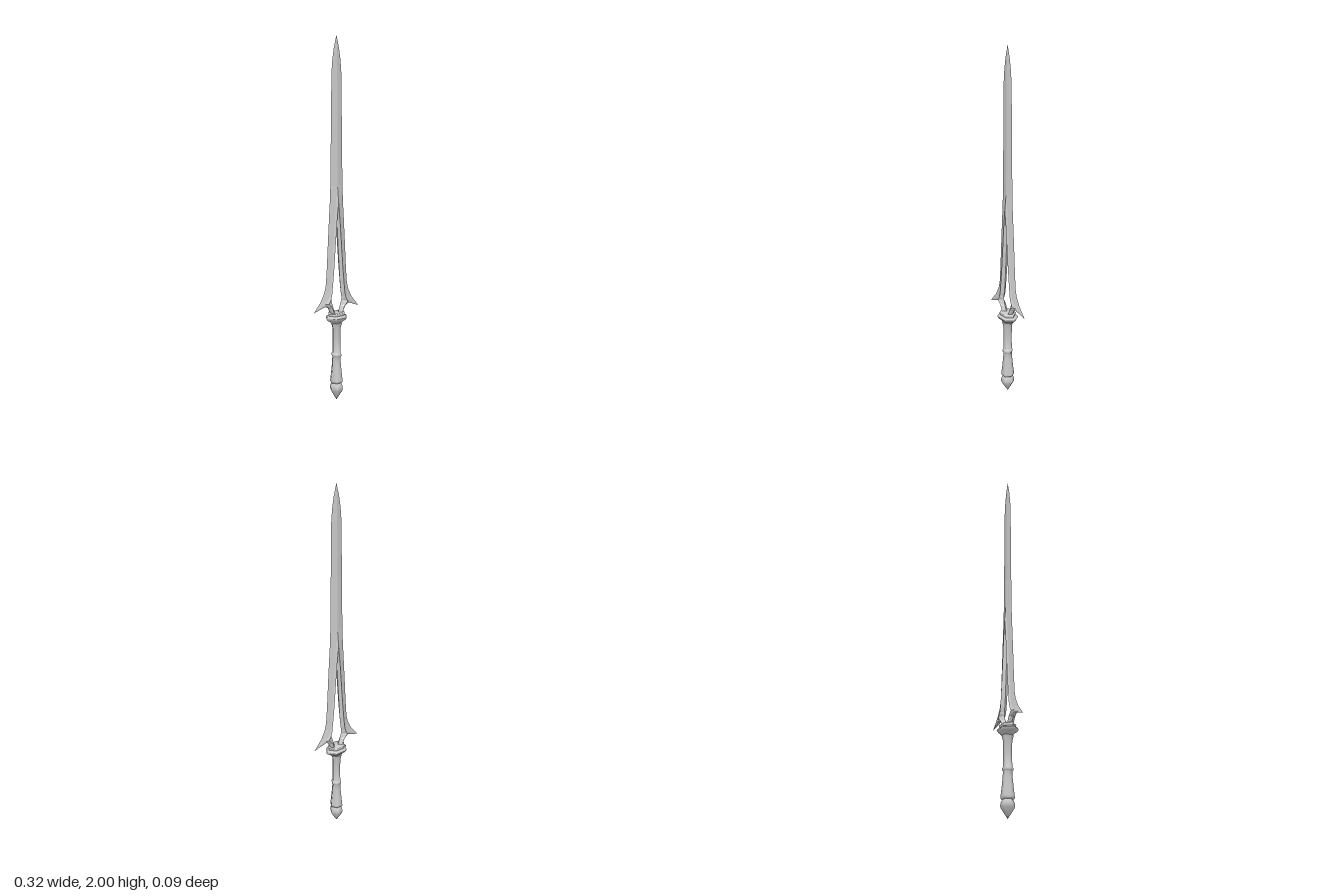
import * as THREE from 'three';
import { toCreasedNormals } from 'three/addons/utils/BufferGeometryUtils.js';

const steel = new THREE.MeshStandardMaterial({ color: 0xcccccc, flatShading: true });
const smooth = new THREE.MeshStandardMaterial({ color: 0xcccccc });

// Each row runs from the cutting edge to the centre; a point is [x, y, z].
const row = (...p) => p;
const solid = (y, x, z) => row([x, y, 0], [0, y, z], [0, y, z], [0, y, z]);
const split = (y, edge, foot, rim, inner) =>
  row([edge, y, 0], [foot, y, 0.011], [rim, y, 0.019], [inner, y, 0]);

const bladeRows = [
  solid(2, 0, 0),
  solid(1.93, 0.018, 0.004),
  solid(1.87, 0.028, 0.006),
  solid(1.8, 0.034, 0.007),
  solid(1.5, 0.038, 0.008),
  solid(1.2, 0.042, 0.01),
  split(1.11, 0.046, 0.012, 0, 0),
  split(1.0, 0.053, 0.02, 0.011, 0.004),
  split(0.88, 0.06, 0.029, 0.02, 0.011),
  split(0.75, 0.067, 0.039, 0.03, 0.019),
  split(0.66, 0.074, 0.047, 0.039, 0.025),
  // barb, then the prong curling in to the guard
  row([0.084, 0.62, 0], [0.053, 0.61, 0.011], [0.045, 0.605, 0.019], [0.03, 0.61, 0]),
  row([0.108, 0.573, 0], [0.064, 0.58, 0.011], [0.052, 0.58, 0.019], [0.035, 0.585, 0]),
  row([0.158, 0.515, 0], [0.086, 0.555, 0.01], [0.066, 0.555, 0.019], [0.036, 0.565, 0]),
  row([0.088, 0.543, 0], [0.076, 0.545, 0.01], [0.058, 0.547, 0.019], [0.031, 0.553, 0]),
  row([0.06, 0.53, 0], [0.053, 0.53, 0.011], [0.042, 0.53, 0.019], [0.023, 0.53, 0]),
  row([0.035, 0.485, 0], [0.031, 0.485, 0.011], [0.022, 0.485, 0.019], [0.008, 0.485, 0]),
];

// Skins the rows, mirrored to both faces of one half of the blade.
function halfBlade(sx) {
  const pos = [];
  for (const sz of [1, -1]) {
    const tri = (a, b, c) => {
      const order = sx * sz > 0 ? [a, b, c] : [a, c, b];
      const v = order.map(([x, y, z]) => new THREE.Vector3(x * sx, y, z * sz));
      if (new THREE.Triangle(...v).getArea() < 1e-9) return;
      v.forEach((p) => pos.push(p.x, p.y, p.z));
    };
    for (let i = 0; i < bladeRows.length - 1; i++) {
      for (let j = 0; j < 3; j++) {
        const a = bladeRows[i][j], b = bladeRows[i][j + 1];
        const c = bladeRows[i + 1][j], d = bladeRows[i + 1][j + 1];
        tri(a, b, d);
        tri(a, d, c);
      }
    }
  }
  const g = new THREE.BufferGeometry();
  g.setAttribute('position', new THREE.Float32BufferAttribute(pos, 3));
  g.computeVertexNormals();
  return g;
}

// Six-sided turned part with corners on the x axis.
function turned(name, profile, depth = 1) {
  const pts = profile.map(([r, y]) => new THREE.Vector2(r, y));
  const g = new THREE.LatheGeometry(pts, 6, Math.PI / 2);
  g.scale(1, 1, depth);
  const mesh = new THREE.Mesh(toCreasedNormals(g, 1.1), smooth);
  mesh.name = name;
  return mesh;
}

export function createModel() {
  const sword = new THREE.Group();
  sword.name = 'sword';

  // Split blade with raised inner rims and side barbs
  for (const [name, sx] of [['leftBlade', 1], ['rightBlade', -1]]) {
    const half = new THREE.Mesh(halfBlade(sx), steel);
    half.name = name;
    sword.add(half);
  }

  // Collar below the blade
  sword.add(turned('guard', [
    [0, 0.435], [0.03, 0.435], [0.045, 0.45], [0.06, 0.457], [0.071, 0.47],
    [0.066, 0.478], [0.052, 0.482], [0.056, 0.495], [0.05, 0.5], [0, 0.497],
  ], 0.75));

  // Grip with a middle ring and flared end
  sword.add(turned('grip', [
    [0, 0.095], [0.03, 0.098], [0.037, 0.105], [0.036, 0.118], [0.031, 0.16],
    [0.026, 0.21], [0.024, 0.247], [0.029, 0.253], [0.029, 0.264], [0.024, 0.27],
    [0.023, 0.34], [0.024, 0.41], [0.032, 0.44], [0, 0.445],
  ]));

  // Pointed pommel
  sword.add(turned('pommel', [
    [0, 0], [0.016, 0.024], [0.035, 0.055], [0.038, 0.068], [0.035, 0.085],
    [0.027, 0.1], [0, 0.1],
  ]));

  return sword;
}
